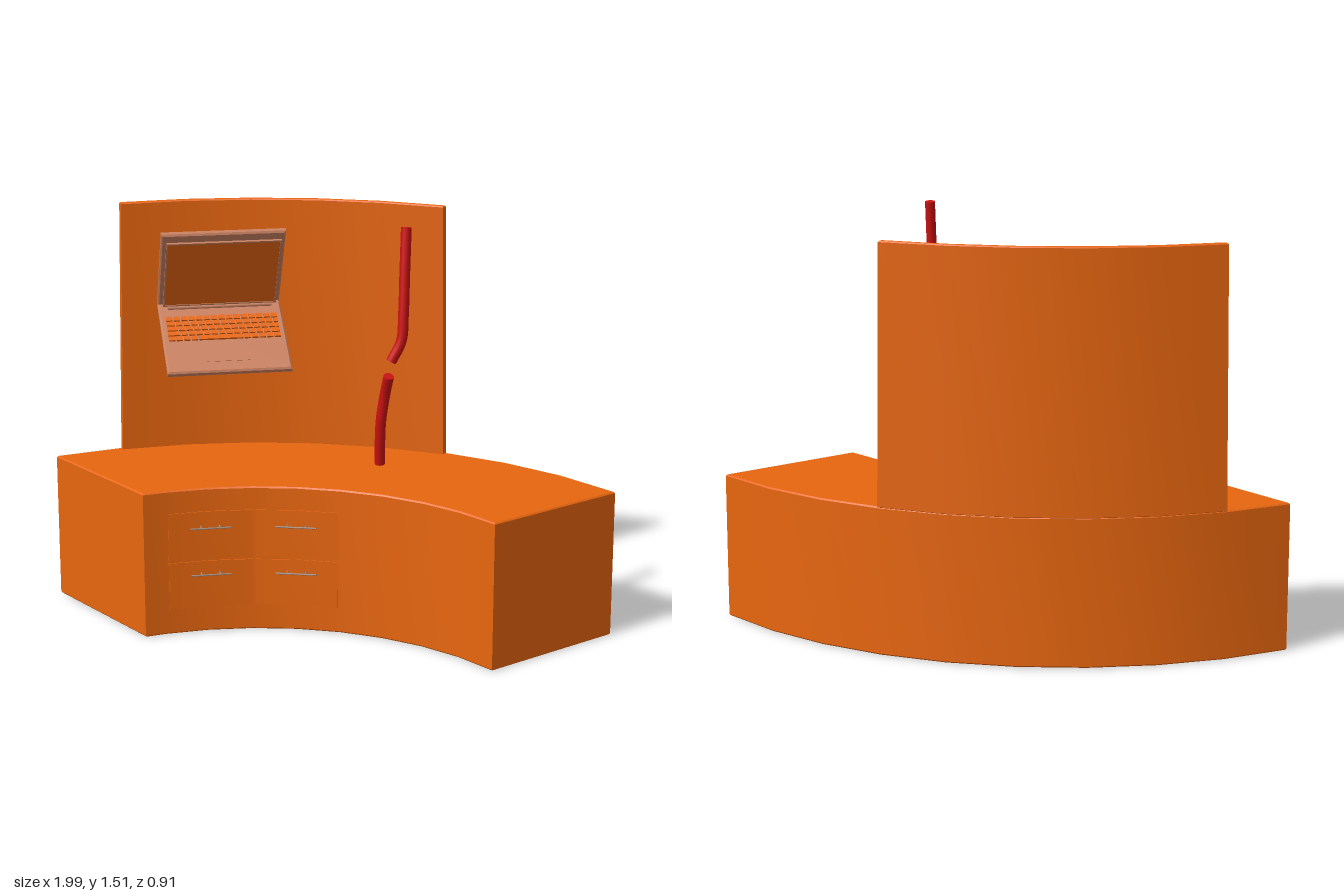
import * as THREE from 'three';
import { toCreasedNormals } from 'three/addons/utils/BufferGeometryUtils.js';

const CX = 0.27, CZ = 1.105;          // centre of the desk's arcs
const R_OUT = 1.565, R_IN = 1.005;
const DESK_H = 0.535;
const rad = THREE.MathUtils.degToRad;

const mat = (color) => new THREE.MeshStandardMaterial({ color });
const orange = mat(0xe8660f), casing = mat(0xc98060), red = mat(0xcc1111), steel = mat(0x9a8a80);

function add(parent, name, geometry, material, x = 0, y = 0, z = 0) {
  const mesh = new THREE.Mesh(geometry, material);
  mesh.name = name;
  mesh.position.set(x, y, z);
  parent.add(mesh);
  return mesh;
}

// Angles from a to b, with facet corners every 9 degrees between them
function facetAngles(a, b) {
  const list = [a];
  for (let t = -54; t <= 27; t += 9) if (t > a + 1 && t < b - 1) list.push(t);
  return [...list, b];
}

// Point on a shape lying in plan; shape y is -z
const onArc = (r, deg) => new THREE.Vector2(CX + r * Math.sin(rad(deg)), r * Math.cos(rad(deg)) - CZ);

// Upright slab between two arcs, with slightly bevelled edges
function arcSlab(rOut, [o0, o1], rIn, [i0, i1], y0, y1, bevel) {
  const outer = facetAngles(o0, o1).map((a) => onArc(rOut, a));
  const inner = facetAngles(i0, i1).map((a) => onArc(rIn, a)).reverse();
  const geo = new THREE.ExtrudeGeometry(new THREE.Shape([...outer, ...inner]), {
    depth: y1 - y0 - 2 * bevel, steps: 1, bevelEnabled: bevel > 0, bevelSegments: 1,
    bevelThickness: bevel, bevelSize: bevel, bevelOffset: -bevel,
  });
  geo.rotateX(-Math.PI / 2);
  geo.translate(0, y0 + bevel, 0);
  return geo;
}

// The back panel narrows a little towards its top
function buildWall() {
  const geo = arcSlab(R_OUT, [-45, 0.2], R_OUT - 0.025, [-45, 0.2], DESK_H - 0.005, 1.46, 0.004);
  const p = geo.attributes.position;
  for (let i = 0; i < p.count; i++) {
    const dx = p.getX(i) - CX, dz = CZ - p.getZ(i), r = Math.hypot(dx, dz);
    const t = (p.getY(i) - DESK_H) / (1.46 - DESK_H);
    const mid = rad(-22.4);
    const a = mid + (Math.atan2(dx, dz) - mid) * (1 - 0.023 * t);
    p.setX(i, CX + r * Math.sin(a));
    p.setZ(i, CZ - r * Math.cos(a));
  }
  return toCreasedNormals(geo, 0.6);
}

// Two columns of curved drawer fronts, each with a bar handle
function buildDrawers() {
  const drawers = new THREE.Group();
  drawers.name = 'drawers';
  for (const [a0, a1] of [[-44.1, -26.9], [-26.3, -9.4]]) {
    for (const [y0, y1, yHandle] of [[0.095, 0.266, 0.222], [0.276, 0.45, 0.396]]) {
      const front = arcSlab(R_IN + 0.004, [a0, a1], R_IN - 0.004, [a0, a1], y0, y1, 0);
      add(drawers, 'drawerFront', toCreasedNormals(front, 0.6), orange);

      const handle = new THREE.Group();
      handle.name = 'drawerHandle';
      const a = (a0 + a1) / 2, p = onArc(R_IN, a);
      handle.position.set(p.x, yHandle, -p.y);
      handle.rotation.y = -rad(a);
      const bar = new THREE.CylinderGeometry(0.003, 0.003, 0.145, 8).rotateZ(Math.PI / 2);
      add(handle, 'handleBar', bar, steel, 0, 0, 0.033);
      for (const s of [-1, 1]) {
        const post = new THREE.CylinderGeometry(0.003, 0.003, 0.03, 8).rotateX(Math.PI / 2);
        add(handle, 'handlePost', post, steel, s * 0.033, 0, 0.018);
      }
      drawers.add(handle);
    }
  }
  return drawers;
}

// Open laptop, tipped forwards; origin at the outer corner of the hinge
function buildLaptop() {
  const W = 0.448, L = 0.356, T = 0.024;
  const laptop = new THREE.Group();
  laptop.name = 'laptop';
  laptop.position.set(-0.517, 1.07, -0.18);
  laptop.rotation.set(rad(30.5), rad(35.4), 0, 'YXZ');

  // Chamfered plate lying in the xz plane
  const plate = () => {
    const b = 0.006, w = W / 2, s = new THREE.Shape();
    s.moveTo(-w, 0).lineTo(w, 0).lineTo(w, -L).lineTo(-w, -L).closePath();
    return new THREE.ExtrudeGeometry(s, {
      depth: T - 2 * b, bevelSegments: 1, bevelThickness: b, bevelSize: b, bevelOffset: -b,
    }).rotateX(-Math.PI / 2).translate(0, b, 0);
  };
  add(laptop, 'laptopBase', plate(), casing);
  const lid = plate().rotateX(-Math.PI / 2).translate(0, 0, 0);
  add(laptop, 'laptopLid', lid, casing);

  // Screen with a raised rim
  const y0 = T + 0.012, y1 = L - 0.02, sw = W - 0.04;
  add(laptop, 'screen', new THREE.BoxGeometry(sw, y1 - y0, 0.002), orange, 0, (y0 + y1) / 2, T + 0.0005);
  for (const y of [y0, y1]) add(laptop, 'screenRim', new THREE.BoxGeometry(sw + 0.006, 0.006, 0.008), casing, 0, y, T);
  for (const s of [-1, 1]) {
    add(laptop, 'screenRim', new THREE.BoxGeometry(0.006, y1 - y0, 0.008), casing, s * sw / 2, (y0 + y1) / 2, T);
  }
  // Hinge barrel
  add(laptop, 'hinge', new THREE.CylinderGeometry(0.008, 0.008, W * 0.85, 10).rotateZ(Math.PI / 2), casing, 0, T + 0.002, T + 0.004);

  // Keyboard: staggered rows, the last with a space bar
  const pitch = 0.41 / 15, rowPitch = 0.025;
  const key = (x, z, w) => add(laptop, 'key', new THREE.BoxGeometry(w - 0.005, 0.007, rowPitch - 0.005), orange, x, T + 0.003, z);
  for (let r = 0; r < 5; r++) {
    const z = 0.088 + r * rowPitch;
    const widths = r === 4 ? [1, 1, 1, 1, 6, 1, 1, 1, 1, 1] : [1 + 0.25 * r, ...Array(13).fill(1), 1 - 0.25 * r];
    if (r === 3) { widths.pop(); widths[13] += 0.25; }
    let x = -0.205;
    for (const w of widths) {
      key(x + w * pitch / 2, z, w * pitch);
      x += w * pitch;
    }
  }
  add(laptop, 'trackpad', new THREE.BoxGeometry(0.154, 0.002, 0.075), casing, 0, T + 0.0003, 0.27);
  return laptop;
}

// Smooth bent rod with closed ends
function buildRod(name, points) {
  const rod = new THREE.Group();
  rod.name = name;
  const R = 0.018;
  const curve = new THREE.CatmullRomCurve3(points.map((p) => new THREE.Vector3(...p)));
  add(rod, 'rodBody', new THREE.TubeGeometry(curve, 32, R, 16), red);
  for (const t of [0, 1]) {
    const cap = add(rod, 'rodEnd', new THREE.CircleGeometry(R, 16), red, ...curve.getPointAt(t).toArray());
    const out = curve.getTangentAt(t).multiplyScalar(t ? 1 : -1);
    cap.quaternion.setFromUnitVectors(new THREE.Vector3(0, 0, 1), out);
  }
  return rod;
}

export function createModel() {
  const model = new THREE.Group();
  model.name = 'curvedDesk';

  const desk = arcSlab(R_OUT, [-54.2, 27.4], R_IN, [-49.2, 27.6], 0, DESK_H, 0.005);
  add(model, 'deskBody', toCreasedNormals(desk, 0.6), orange);
  add(model, 'backPanel', buildWall(), orange);
  model.add(buildDrawers(), buildLaptop());

  model.add(
    buildRod('upperRod', [[0.382, 1.51, 0.173], [0.386, 1.35, 0.192], [0.389, 1.22, 0.206], [0.386, 1.13, 0.215], [0.357, 1.06, 0.232]]),
    buildRod('lowerRod', [[0.346, 1.005, 0.226], [0.325, 0.94, 0.207], [0.306, 0.84, 0.198], [0.297, 0.75, 0.186], [0.291, 0.675, 0.172]]),
  );
  return model;
}
